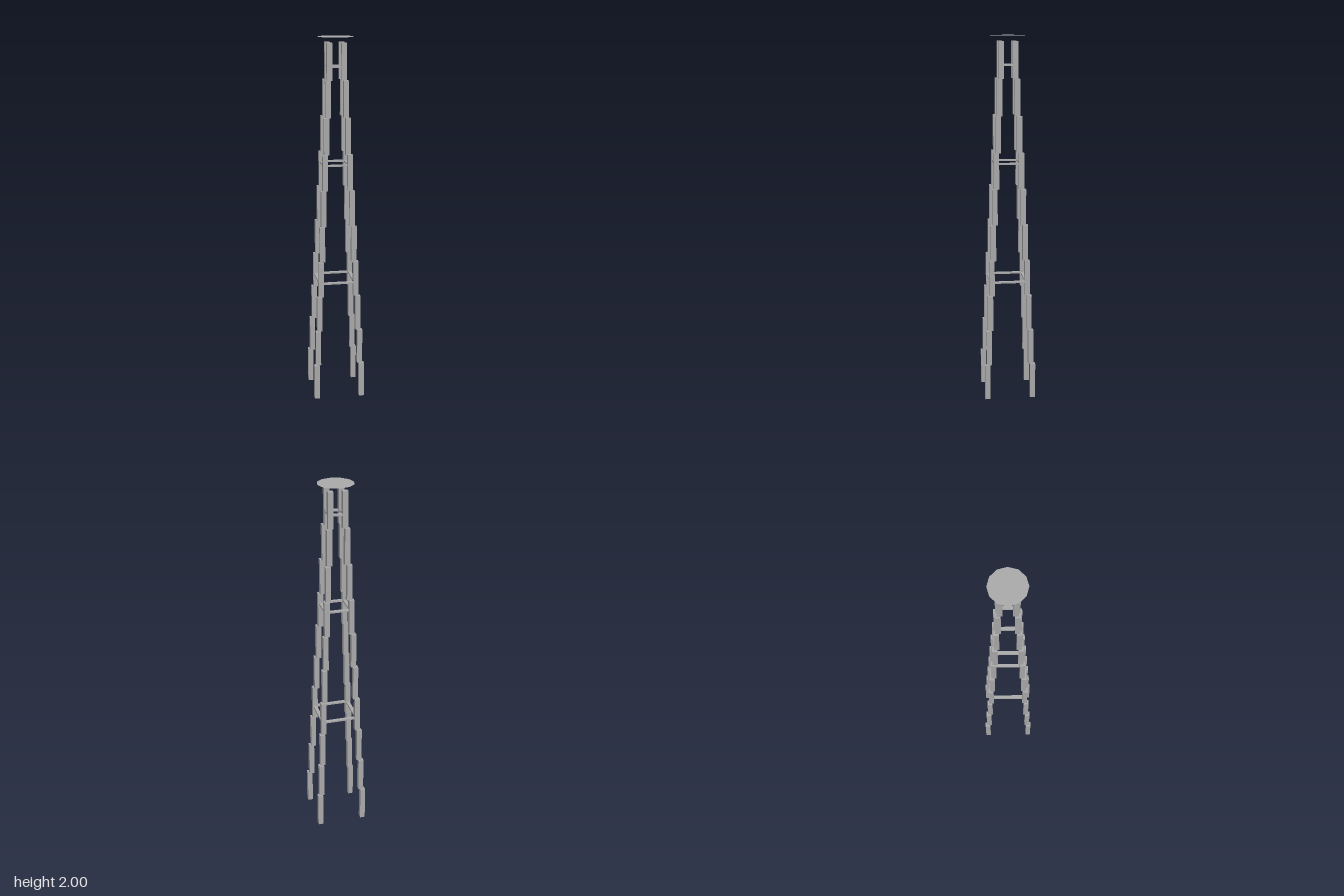
import * as THREE from 'three';

const SEGMENTS = 10;
const SEG_H = 0.197;
const LEG_W = 0.0285;
// distance of a leg segment's axis from the tower's centre lines
const legOffset = (i) => 0.1263 - i * 0.0097;

export function createModel() {
  const model = new THREE.Group();
  const grey = new THREE.MeshStandardMaterial({ color: 0xaaaaaa });
  grey.name = 'grey';
  const greySheet = grey;
  greySheet.side = THREE.DoubleSide;

  // four legs, each a stack of blocks stepping inwards
  const blockGeo = new THREE.BoxGeometry(LEG_W, SEG_H, LEG_W);
  for (const sx of [-1, 1]) {
    for (const sz of [-1, 1]) {
      const leg = new THREE.Group();
      leg.name = `${sz > 0 ? 'front' : 'back'}${sx > 0 ? 'Left' : 'Right'}Leg`;
      for (let i = 0; i < SEGMENTS; i++) {
        const block = new THREE.Mesh(blockGeo, grey);
        block.name = 'legSegment';
        block.position.set(sx * legOffset(i), (i + 0.5) * SEG_H, sz * legOffset(i));
        leg.add(block);
      }
      model.add(leg);
    }
  }

  // square rings of flat cross bars between the legs
  for (const y of [0.665, 1.32, 1.845]) {
    const d = legOffset(Math.floor(y / SEG_H));
    const ring = new THREE.Group();
    ring.name = 'braceRing';
    const barGeo = new THREE.BoxGeometry(2 * d, 0.009, 0.0195);
    for (let k = 0; k < 4; k++) {
      const a = (k * Math.PI) / 2;
      const bar = new THREE.Mesh(barGeo, grey);
      bar.name = 'braceBar';
      bar.position.set(Math.sin(a) * d, y, Math.cos(a) * d);
      bar.rotation.y = a;
      ring.add(bar);
    }
    model.add(ring);
  }

  // thin twelve-sided disc above the legs
  const disc = new THREE.Mesh(new THREE.CircleGeometry(0.098, 12).rotateX(-Math.PI / 2), greySheet);
  disc.name = 'topDisc';
  disc.position.y = 2;
  model.add(disc);

  return model;
}
